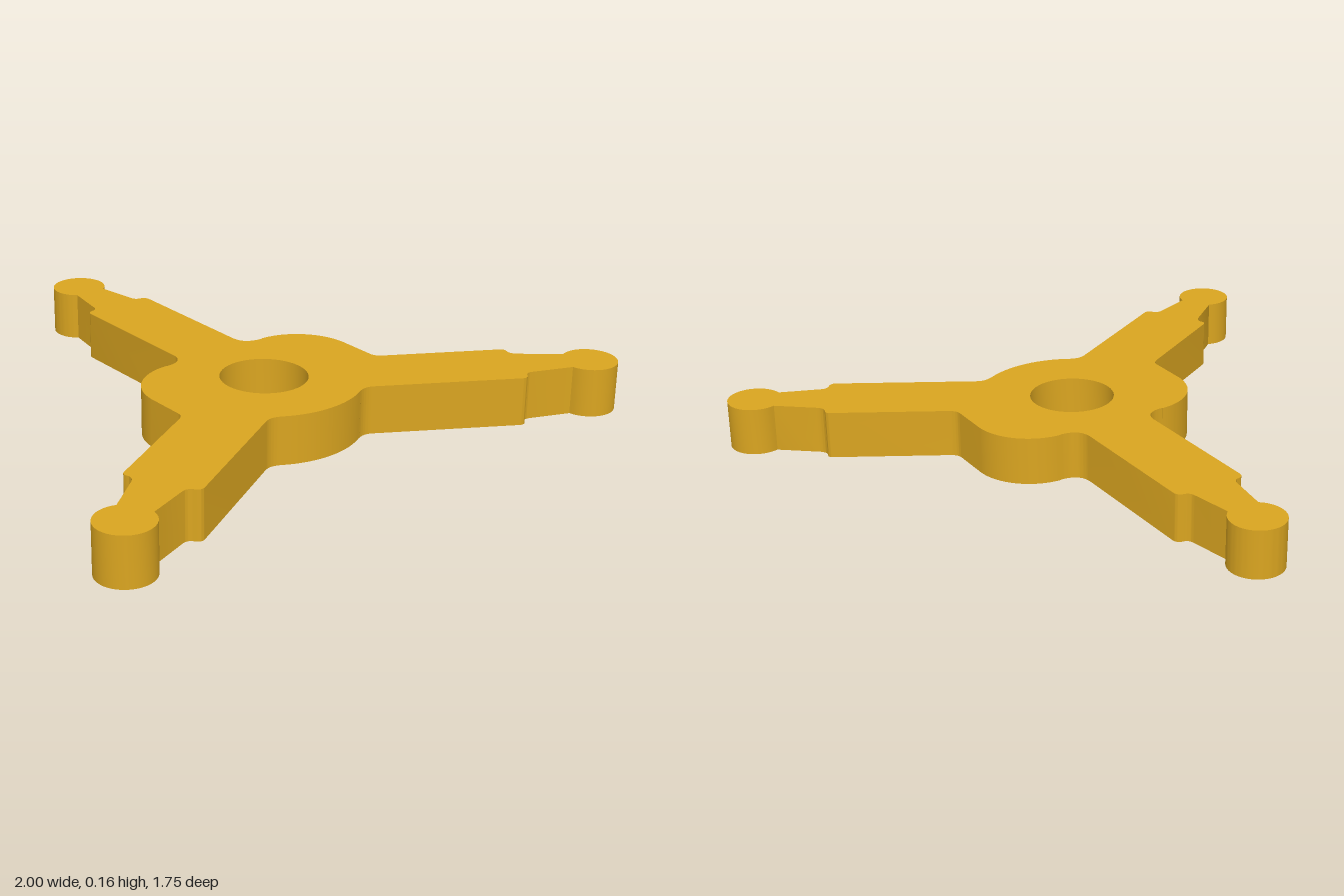
import * as THREE from 'three';
import { toCreasedNormals } from 'three/addons/utils/BufferGeometryUtils.js';

const HEIGHT = 0.16;
const HUB_Z = 0.25;

// Right half of the plan outline (x, z), from the back tip round to the front of the hub
function halfOutline() {
  const p = new THREE.Path();
  // back arm: round tip, tapered neck, shoulder, straight arm
  p.absarc(0, -0.79, 0.09, -Math.PI / 2, 0.91, false);
  p.lineTo(0.077, -0.585);
  p.quadraticCurveTo(0.08, -0.56, 0.1, -0.558);
  p.quadraticCurveTo(0.12, -0.555, 0.122, -0.535);
  p.lineTo(0.122, -0.06);
  p.quadraticCurveTo(0.125, 0, 0.195, 0);
  // hub corner
  p.absarc(0.195, 0.19, 0.192, -Math.PI / 2, 0, false);
  p.lineTo(0.387, 0.32);
  p.quadraticCurveTo(0.387, 0.34, 0.41, 0.354);
  // side arm: upper edge, shoulder, neck
  p.lineTo(0.745, 0.547);
  p.quadraticCurveTo(0.76, 0.556, 0.752, 0.573);
  p.quadraticCurveTo(0.745, 0.592, 0.765, 0.61);
  // round tip
  p.lineTo(0.877, 0.7);
  p.absarc(0.91, 0.785, 0.09, -1.94, 3.03, false);
  // neck, shoulder and lower edge back to the hub
  p.lineTo(0.69, 0.744);
  p.quadraticCurveTo(0.67, 0.736, 0.657, 0.753);
  p.quadraticCurveTo(0.643, 0.772, 0.625, 0.761);
  p.lineTo(0.215, 0.524);
  p.quadraticCurveTo(0.19, 0.51, 0.16, 0.524);
  p.absarc(0, HUB_Z, 0.317, 1.04, Math.PI / 2, false);
  return p.getPoints(16);
}

export function createModel() {
  const group = new THREE.Group();

  // Mirror the half outline, skipping the two points on the centre line
  const right = halfOutline();
  const left = right.slice(1, -1).reverse().map(v => new THREE.Vector2(-v.x, v.y));
  const shape = new THREE.Shape([...right, ...left]);

  // Round bore through the hub
  const bore = new THREE.Path();
  bore.absarc(0, HUB_Z, 0.14, 0, Math.PI * 2, true);
  shape.holes.push(bore);

  let geometry = new THREE.ExtrudeGeometry(shape, {
    depth: HEIGHT, bevelEnabled: false, curveSegments: 24,
  });
  geometry.rotateX(Math.PI / 2);
  geometry.translate(0, HEIGHT, 0);
  geometry = toCreasedNormals(geometry, 0.5);

  const body = new THREE.Mesh(geometry, new THREE.MeshStandardMaterial({ color: 0xdaa520 }));
  body.name = 'threeArmedSpider';
  group.add(body);
  return group;
}
